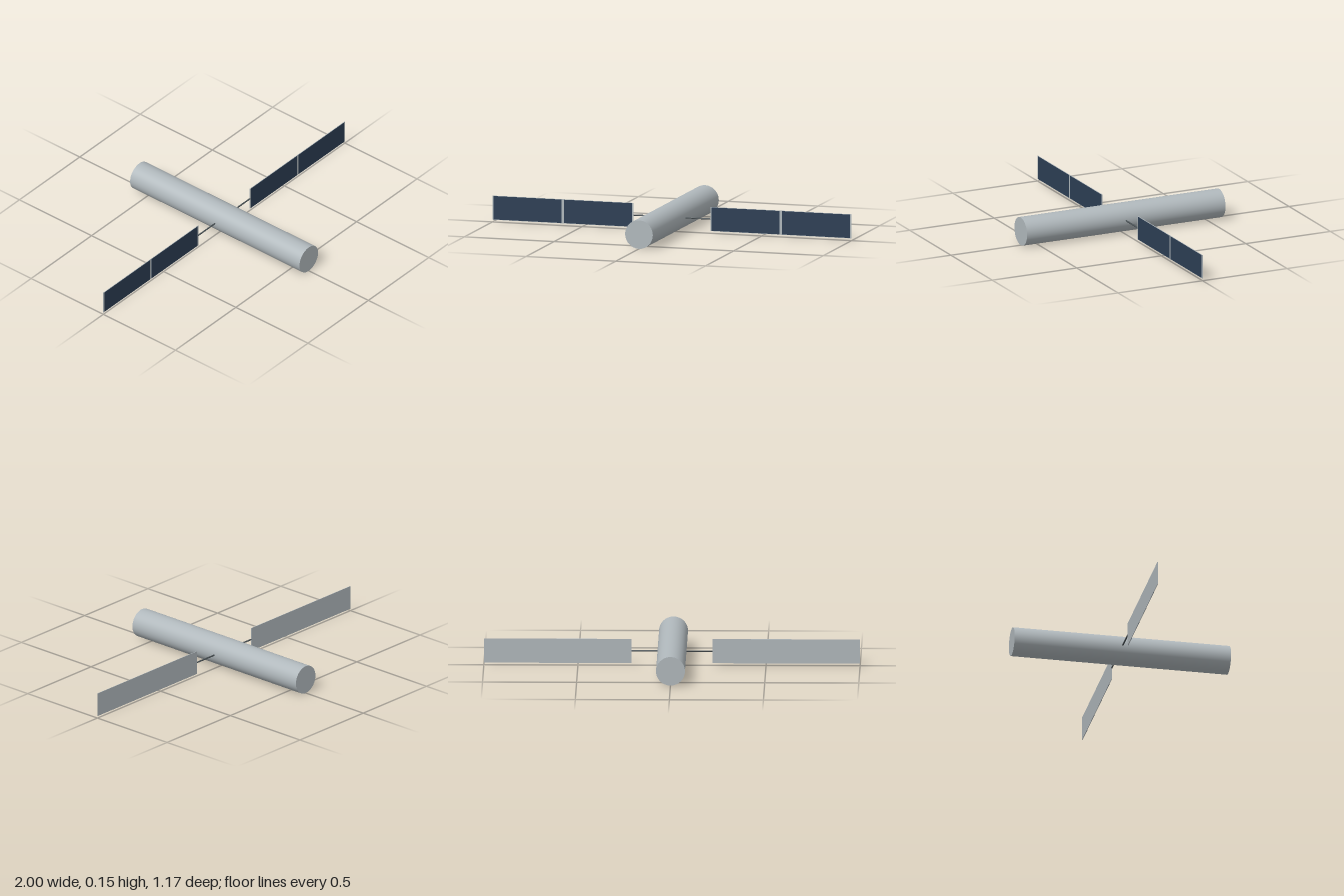
import * as THREE from 'three';

export function createModel() {
  const model = new THREE.Group();
  model.name = 'satellite';

  const hullGrey = new THREE.MeshStandardMaterial({ color: 0xb0b8bc });
  hullGrey.name = 'hullGrey';
  const cellNavy = new THREE.MeshStandardMaterial({ color: 0x2c3e54 });
  cellNavy.name = 'cellNavy';
  const boomGrey = new THREE.MeshStandardMaterial({ color: 0x4a5256 });
  boomGrey.name = 'boomGrey';

  const R = 0.077;

  function add(parent, name, geometry, material, x, y, z) {
    const mesh = new THREE.Mesh(geometry, material);
    mesh.name = name;
    mesh.position.set(x, y, z);
    parent.add(mesh);
    return mesh;
  }

  // Long cylindrical hull along z
  const hull = new THREE.CylinderGeometry(R, R, 1.174, 48).rotateX(Math.PI / 2);
  add(model, 'hull', hull, hullGrey, 0, R, 0);

  // Mirrored wings: boom, backing panel and two fields of solar cells
  for (const side of [1, -1]) {
    const wing = new THREE.Group();
    wing.name = side > 0 ? 'leftWing' : 'rightWing';
    model.add(wing);

    const boom = new THREE.CylinderGeometry(0.004, 0.004, 0.155, 12).rotateZ(Math.PI / 2);
    add(wing, 'boom', boom, boomGrey, side * 0.1375, R, 0);

    add(wing, 'panelBacking', new THREE.BoxGeometry(0.786, 0.13, 0.003), hullGrey, side * 0.607, R, -0.0005);

    // Cells on the front face only
    for (const x of [0.411, 0.803]) {
      add(wing, 'solarCells', new THREE.BoxGeometry(0.378, 0.126, 0.001), cellNavy, side * x, R, 0.0015);
    }
  }

  return model;
}
